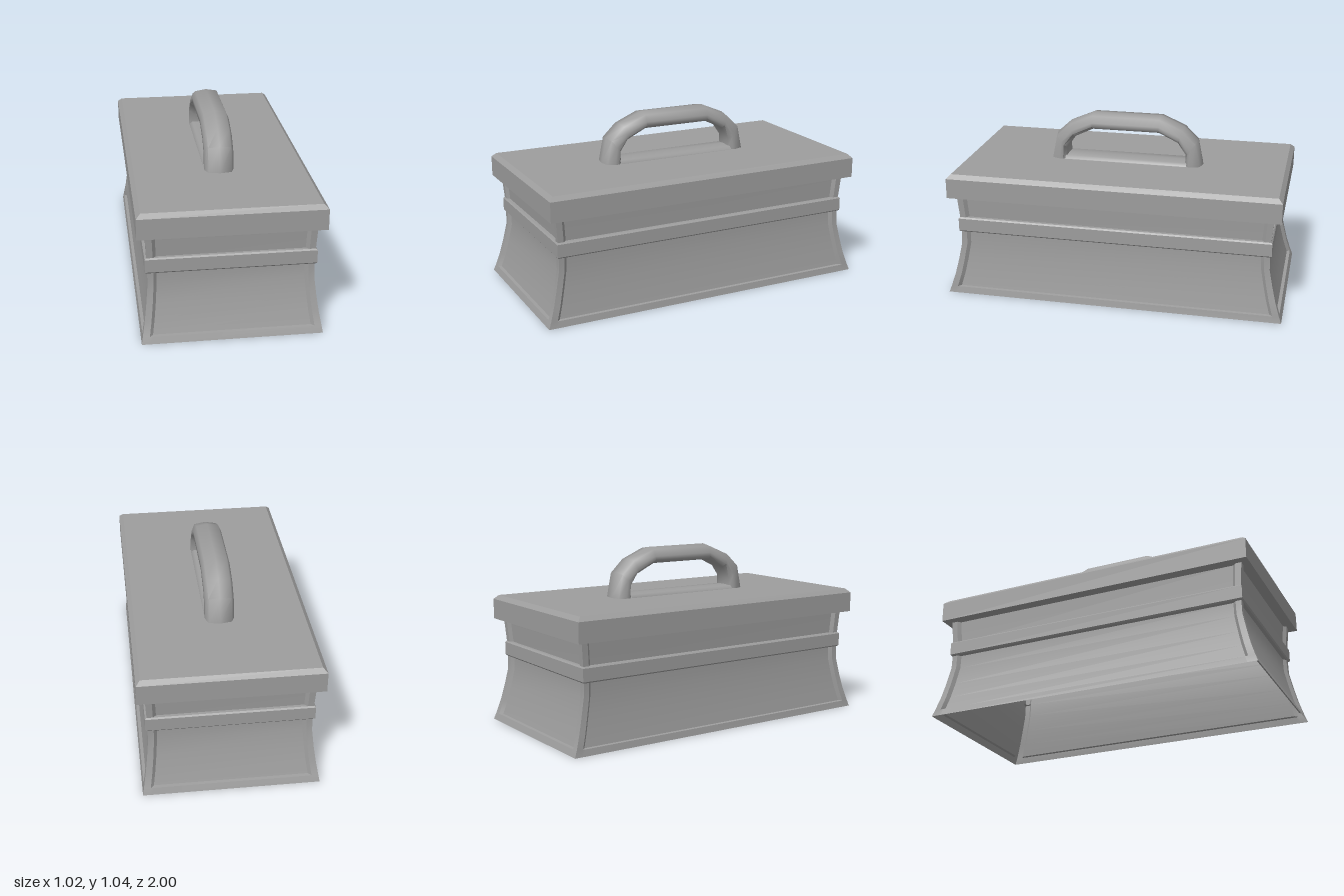
import * as THREE from 'three';
import { toCreasedNormals } from 'three/addons/utils/BufferGeometryUtils.js';

// Skin a list of closed cross-sections (arrays of [x, y, z])
function loft(rings, crease) {
  const n = rings[0].length, index = [];
  for (let r = 0; r < rings.length - 1; r++) {
    for (let i = 0; i < n; i++) {
      const a = r * n + i, b = r * n + (i + 1) % n;
      index.push(a, a + n, b, b, a + n, b + n);
    }
  }
  const geo = new THREE.BufferGeometry();
  geo.setAttribute('position', new THREE.Float32BufferAttribute(rings.flat(2), 3));
  geo.setIndex(index);
  return toCreasedNormals(geo, crease);
}

const CORNERS = [[1, 1], [-1, 1], [-1, -1], [1, -1]];
const rect = ([hx, hz, y]) => CORNERS.map(([sx, sz]) => [sx * hx, y, sz * hz]);

// Rectangle outline with raised corner posts of width p and panels recessed by r
function postRing([hx, hz, y, p, r]) {
  const q = p + 0.018;
  const corner = [[hx - r, hz - q], [hx, hz - p], [hx, hz], [hx - p, hz], [hx - q, hz - r]];
  return CORNERS.flatMap(([sx, sz]) => {
    const pts = corner.map(([x, z]) => [sx * x, y, sz * z]);
    return sx * sz > 0 ? pts : pts.reverse();
  });
}

export function createModel() {
  const group = new THREE.Group();
  const solid = new THREE.MeshStandardMaterial({ color: 0x9d9d9d });
  const shell = new THREE.MeshStandardMaterial({ color: 0x9d9d9d, side: THREE.DoubleSide });
  const add = (name, geo, mat = solid) => {
    const mesh = new THREE.Mesh(geo, mat);
    mesh.name = name;
    group.add(mesh);
  };

  // Flared hollow body with a bottom rail, open underneath:
  // half width, half depth, height, post width, recess
  const body = [
    [0.5, 1, 0, 0.04, 0], [0.493, 0.986, 0.038, 0.039, 0], [0.493, 0.985, 0.04, 0.039, 0.018],
    [0.479, 0.96, 0.12, 0.037, 0.018], [0.467, 0.938, 0.21, 0.035, 0.018],
    [0.457, 0.917, 0.31, 0.033, 0.018], [0.456, 0.915, 0.39, 0.033, 0.018],
    [0.459, 0.918, 0.48, 0.034, 0.018], [0.466, 0.93, 0.617, 0.036, 0.018],
  ];
  add('body', loft(body.map(postRing), 0.3), shell);

  // Bevelled band around the waist
  const band = [
    [0.438, 0.897, 0.39], [0.461, 0.918, 0.39], [0.469, 0.925, 0.398],
    [0.469, 0.925, 0.472], [0.461, 0.918, 0.48], [0.441, 0.9, 0.48],
  ];
  add('waistBand', loft(band.map(rect), 0.3), shell);

  // Lid with a shallow hollow below and a bevelled top edge
  const lid = [
    [0, 0, 0.66], [0.43, 0.89, 0.66], [0.43, 0.89, 0.615], [0.512, 0.973, 0.615],
    [0.512, 0.973, 0.733], [0.487, 0.949, 0.757], [0, 0, 0.757],
  ];
  add('lid', loft(lid.map(rect), 0.3));

  // Rounded section shared by the handle and its base: half width, inner-to-outer fraction
  const side = [[0.055, 0], [0.085, 0.22], [0.083, 0.45], [0.066, 0.88]];
  const section = [...side, [0, 1], ...side.map(([x, v]) => [-x, v]).reverse()];
  const sweep = (path) => loft(path.map(([oz, oy, iz, iy]) =>
    section.map(([x, v]) => [x, iy + (oy - iy) * v, iz + (oz - iz) * v])), 1.1);

  // Arched handle: outer z, outer y, inner z, inner y
  const half = [
    [0.463, 0.755, 0.36, 0.755], [0.43, 0.905, 0.363, 0.825],
    [0.345, 0.983, 0.315, 0.895], [0.205, 1.042, 0.2, 0.95],
  ];
  add('handle', sweep([...half, ...half.map(([a, b, c, d]) => [-a, b, -c, d]).reverse()]));

  // Low rounded strip joining the feet of the handle
  add('handleBase', sweep([[0.37, 0.78, 0.37, 0.745], [-0.37, 0.78, -0.37, 0.745]]));

  return group;
}
